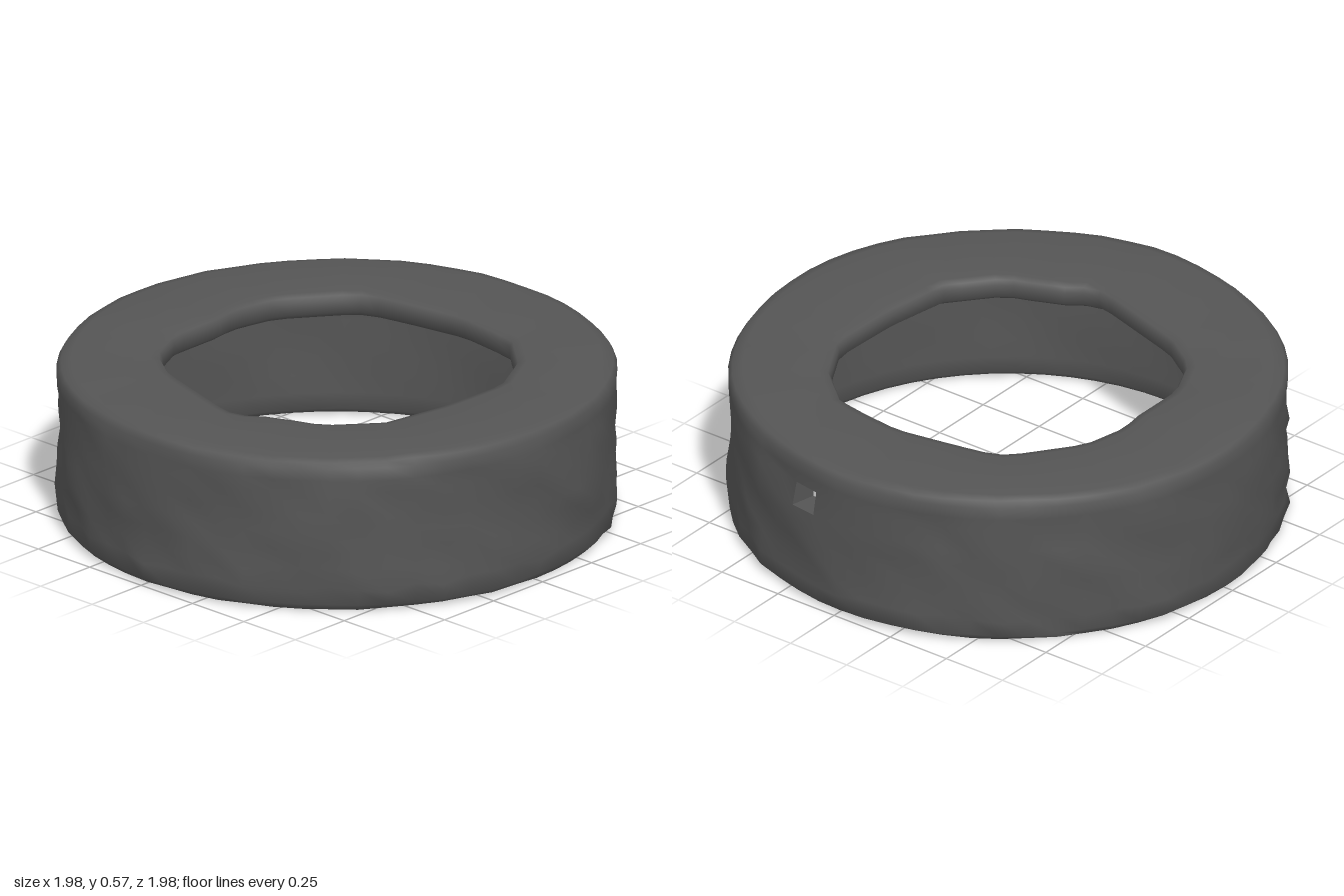
import * as THREE from 'three';
import { toCreasedNormals } from 'three/addons/utils/BufferGeometryUtils.js';

const SEGMENTS = 60;
const WINDOW_SEGMENT = 46; // small square opening at the back of the wall
const WINDOW_ROW = 5;

// Irregular outline of the central opening, as x, z points
const OPENING = [
  [0.56, 0.05], [0.52, 0.3], [0.37, 0.48], [0.34, 0.48], [0.15, 0.56], [0.11, 0.605], [0.04, 0.605],
  [-0.34, 0.49], [-0.49, 0.39], [-0.57, 0.22], [-0.57, 0], [-0.585, -0.1], [-0.55, -0.27],
  [-0.41, -0.46], [-0.35, -0.52], [-0.2, -0.55], [0.03, -0.59], [0.2, -0.57], [0.34, -0.545],
  [0.37, -0.5], [0.46, -0.43], [0.57, -0.23],
];

// Radius of the opening along a ray at angle a
function openingRadius(a) {
  const dx = Math.cos(a), dz = Math.sin(a);
  for (let i = 0; i < OPENING.length; i++) {
    const [px, pz] = OPENING[i];
    const [qx, qz] = OPENING[(i + 1) % OPENING.length];
    const sp = dx * pz - dz * px, sq = dx * qz - dz * qx;
    if (sp <= 0 && sq > 0) {
      const t = sp / (sp - sq);
      return Math.hypot(px + (qx - px) * t, pz + (qz - pz) * t);
    }
  }
  return 0.58;
}

// Repeatable value from -1 to 1 for each grid point
function jitter(i, k) {
  const s = Math.sin(i * 127.1 + k * 311.7) * 43758.5453;
  return (s - Math.floor(s)) * 2 - 1;
}

// Shallow worn dents running around the wall
function dent(a, y) {
  return 0.004 * Math.sin(6 * a) * Math.cos(11 * y) + 0.004 * Math.sin(11 * a + 1) * Math.sin(17 * y);
}

const ROWS = [0.03, 0.09, 0.16, 0.23, 0.3, 0.37, 0.455];

// Closed cross-section: up the outside, over the top, under it and down the inside
function crossSection(i) {
  const a = (i / SEGMENTS) * Math.PI * 2;
  const hole = openingRadius(a);
  const wave = 0.003 * Math.sin(5 * a) + 0.002 * jitter(i, 40);
  const outer = ROWS.map((y, k) => [
    0.984 + dent(a, y) + 0.009 * jitter(i, k),
    y + (k > 0 && k < WINDOW_ROW ? 0.012 * jitter(i, k + 20) : 0),
  ]);
  const inner = ROWS.map((y) => [0.896 + 0.7 * dent(a, y), y]).reverse();
  return [
    ...outer,
    [0.983 + dent(a, 0.5), 0.5],
    [0.984 + dent(a, 0.55), 0.547],
    [0.97 + dent(a, 0.57), 0.568 + wave],
    [0.935, 0.575 + wave],
    [(hole + 0.935) / 2, 0.575 + wave],
    [hole + 0.04, 0.573],
    [hole + 0.01, 0.567],
    [hole, 0.55],
    [hole + 0.002, 0.505],
    [hole + 0.03, 0.483],
    [0.83, 0.485],
    [0.875, 0.478],
    ...inner,
    [0.91, 0.013],
    [0.94, 0.005 + 0.004 * Math.abs(jitter(i, 70))],
    [0.968 + 0.004 * jitter(i, 60), 0.009 + 0.005 * Math.abs(jitter(i, 50))],
  ].map(([r, y]) => [r * Math.cos(a), y, r * Math.sin(a)]);
}

function ringGeometry() {
  const sections = Array.from({ length: SEGMENTS }, (_, i) => crossSection(i));
  const count = sections[0].length;
  const id = (i, k) => (i % SEGMENTS) * count + (k % count);
  const index = [];
  const quad = (a, b, c, d) => index.push(a, b, c, a, c, d);
  const innerRow = count - 5 - WINDOW_ROW; // three rim points follow the inner rows

  for (let i = 0; i < SEGMENTS; i++) {
    for (let k = 0; k < count; k++) {
      if (i === WINDOW_SEGMENT && (k === WINDOW_ROW || k === innerRow)) continue;
      quad(id(i, k), id(i, k + 1), id(i + 1, k + 1), id(i + 1, k));
    }
  }

  // Sides of the small opening through the wall
  const w = WINDOW_SEGMENT, k = WINDOW_ROW, n = innerRow;
  const front = [id(w, k), id(w, k + 1), id(w + 1, k + 1), id(w + 1, k)];
  const back = [id(w, n + 1), id(w, n), id(w + 1, n), id(w + 1, n + 1)];
  for (let e = 0; e < 4; e++) {
    const f = (e + 1) % 4;
    quad(front[e], front[f], back[f], back[e]);
  }

  const geometry = new THREE.BufferGeometry();
  geometry.setAttribute('position', new THREE.Float32BufferAttribute(sections.flat(2), 3));
  geometry.setIndex(index);
  return toCreasedNormals(geometry, 1.2);
}

export function createModel() {
  const group = new THREE.Group();
  group.name = 'hollowRing';
  const material = new THREE.MeshStandardMaterial({ color: 0x555555 });

  // Outer wall and flat top, hollow and open underneath
  const shell = new THREE.Mesh(ringGeometry(), material);
  shell.name = 'ringShell';
  group.add(shell);
  return group;
}
